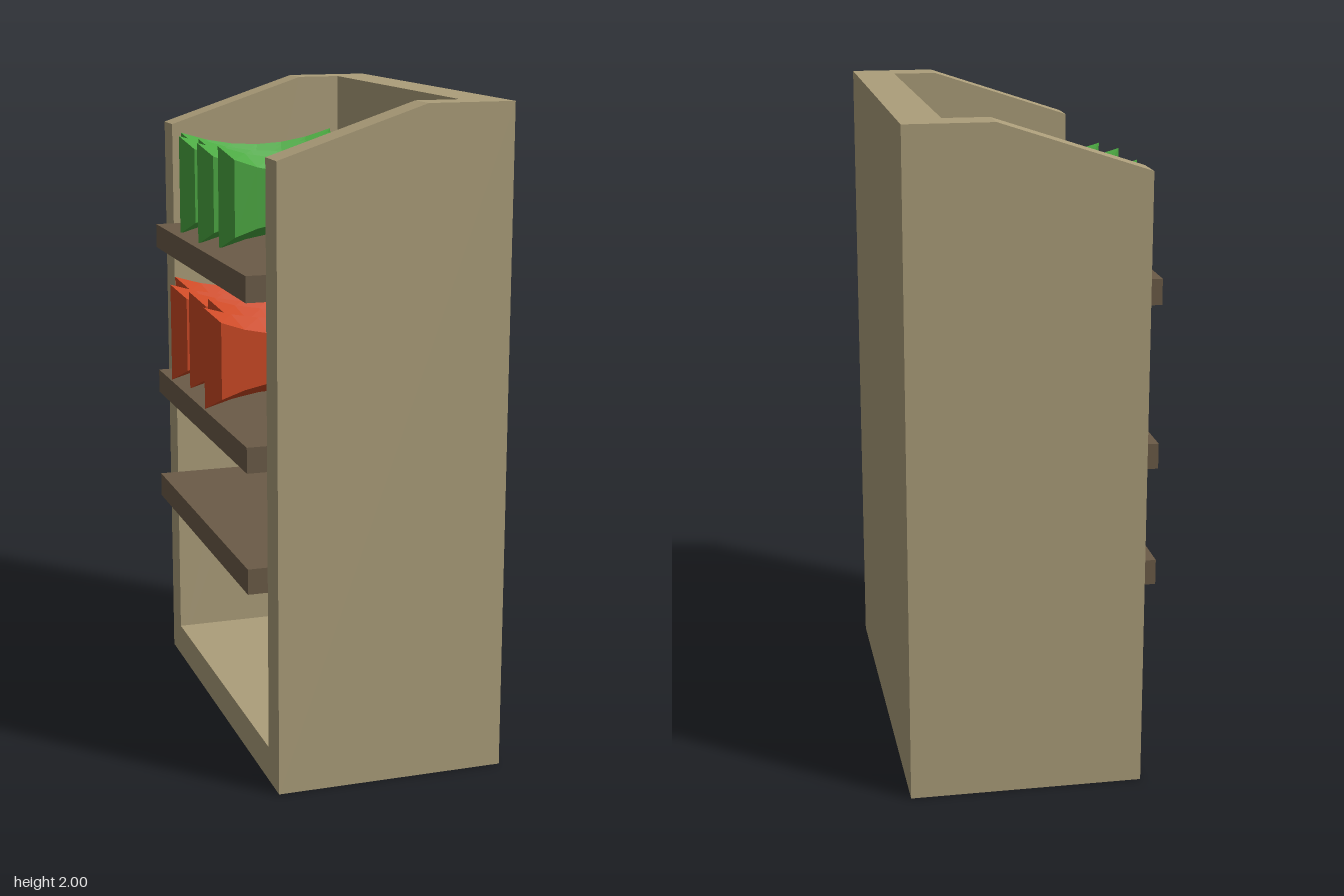
import * as THREE from 'three';

const mat = (name, color) => Object.assign(new THREE.MeshStandardMaterial({ color }), { name });

export function createModel() {
  const caseWood = mat('case wood', 0xac9e7a);
  const shelfWood = mat('shelf wood', 0x6b5b47);
  const green = mat('green book', 0x4aa840);
  const red = mat('red book', 0xcb4822);
  const model = new THREE.Group();
  model.name = 'bookcase';

  const add = (name, geometry, material, x, y, z) => {
    const mesh = new THREE.Mesh(geometry, material);
    mesh.name = name;
    mesh.position.set(x, y, z);
    model.add(mesh);
  };
  const addBox = (name, material, x0, x1, y0, y1, z0, z1) =>
    add(name, new THREE.BoxGeometry(x1 - x0, y1 - y0, z1 - z0), material,
      (x0 + x1) / 2, (y0 + y1) / 2, (z0 + z1) / 2);

  // Case, open towards -x and at the top
  const W = 0.645, T = 0.105, inner = W - T;
  const side = new THREE.Shape([[-0.31, 0], [0.39, 0], [0.39, 2], [0.13, 2], [-0.31, 1.855]]
    .map(([x, y]) => new THREE.Vector2(x, y)));
  const sideGeometry = new THREE.ExtrudeGeometry(side, { depth: T, bevelEnabled: false });
  add('leftSidePanel', sideGeometry, caseWood, 0, 0, inner);
  add('rightSidePanel', sideGeometry, caseWood, 0, 0, -W);
  addBox('backPanel', caseWood, 0.265, 0.39, 0, 2, -inner, inner);
  addBox('bottomBoard', caseWood, -0.31, 0.265, 0, T, -inner, inner);

  // Shelves stick out a little past the case
  for (const y of [0.59, 0.955, 1.45])
    addBox('shelf', shelfWood, -0.37, 0.265, y, y + 0.077, -inner, inner);

  // Book: a box with tapered faces and hollowed top and bottom edges
  const L = 0.51, H = 0.312, inset = 0.038, hollow = 0.045;
  const bookGeometry = (halfWidth) => {
    const g = new THREE.BoxGeometry(L, H, halfWidth * 2, 6, 1, 2).toNonIndexed();
    const p = g.attributes.position;
    for (let i = 0; i < p.count; i++) {
      const u = p.getX(i) / (L / 2), v = Math.sign(p.getY(i));
      const t = Math.abs(p.getZ(i)) / halfWidth;
      p.setX(i, u * (L / 2 - inset * t));
      p.setY(i, v * (H / 2 - inset * t - hollow * (1 - u * u)));
    }
    g.computeVertexNormals();
    return g;
  };
  const greenGeometry = bookGeometry(0.048), redGeometry = bookGeometry(0.058);
  for (let i = 0; i < 5; i++) {
    add('greenBook', greenGeometry, green, [-0.305, -0.34][i % 2] + L / 2, 1.68, -0.442 + i * 0.115);
    add('redBook', redGeometry, red, [-0.34, -0.39, -0.365][i % 3] + L / 2, 1.213, -0.41 + i * 0.14);
  }
  return model;
}
